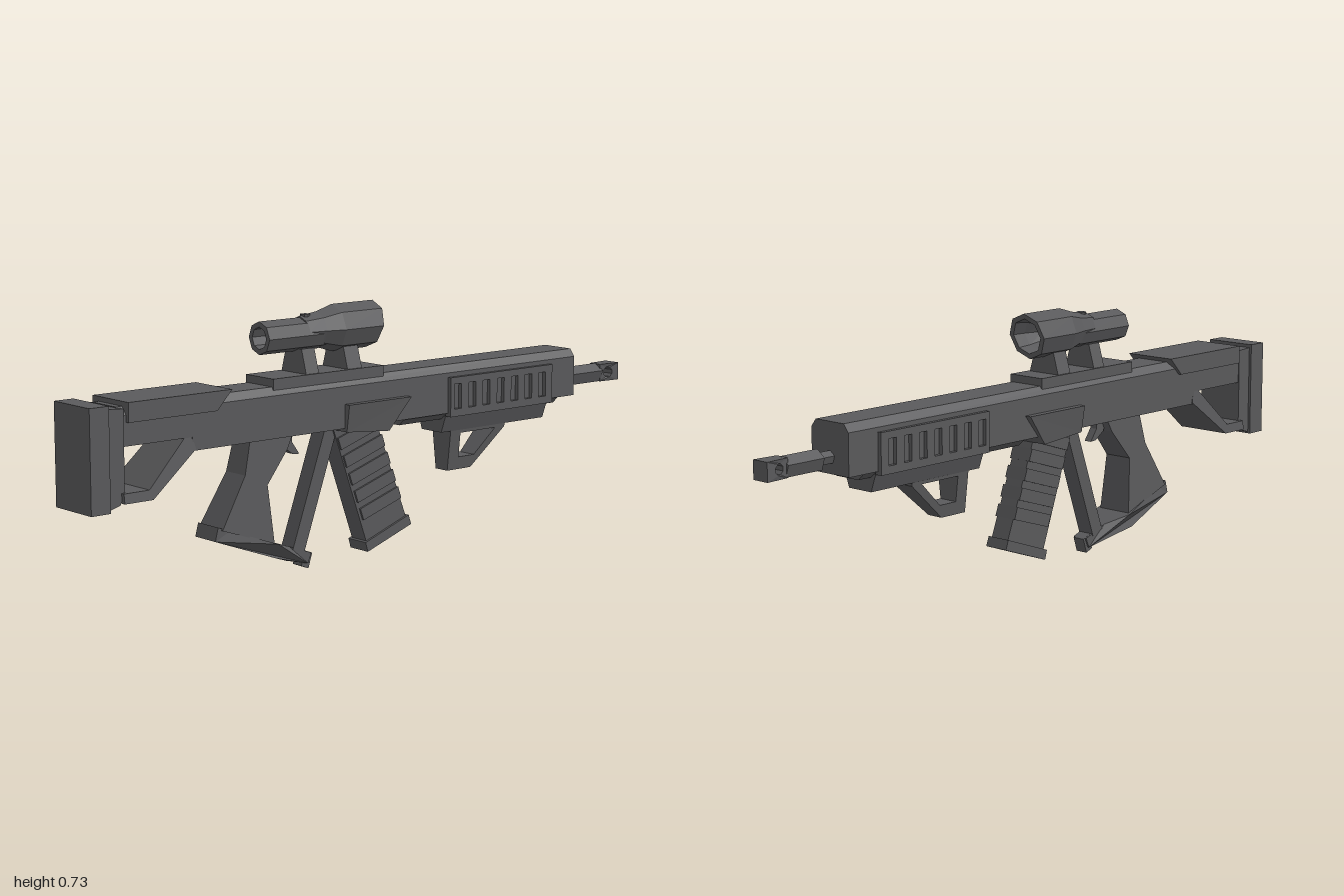
import * as THREE from 'three';

export function createModel() {
  const model = new THREE.Group();
  const gunmetal = new THREE.MeshStandardMaterial({ color: 0x5a5a5c });
  gunmetal.name = 'gunmetal';

  // Facets a geometry and adds it as a named part
  const add = (name, geometry, parent = model) => {
    const g = geometry.index ? geometry.toNonIndexed() : geometry;
    g.computeVertexNormals();
    const mesh = new THREE.Mesh(g, gunmetal);
    mesh.name = name;
    parent.add(mesh);
    return mesh;
  };
  const vectors = pts => pts.map(([x, y]) => new THREE.Vector2(x, y));

  // Side profile spread to both sides; half is a width or a rule of (x, y)
  const profile = (name, pts, half, holes = [], parent = model) => {
    const shape = new THREE.Shape(vectors(pts));
    for (const h of holes) shape.holes.push(new THREE.Path(vectors(h)));
    const g = new THREE.ExtrudeGeometry(shape, { depth: 2, bevelEnabled: false });
    g.translate(0, 0, -1);
    const p = g.attributes.position;
    for (let i = 0; i < p.count; i++) {
      const w = typeof half === 'function' ? half(p.getX(i), p.getY(i)) : half;
      p.setZ(i, p.getZ(i) * w);
    }
    return add(name, g, parent);
  };

  // Mirrored cross-section (z, y) run along x
  const beam = (name, x0, x1, right) => {
    const left = right.map(([z, y]) => [-z, y]).reverse();
    const shape = new THREE.Shape(vectors([...right, ...left]));
    const g = new THREE.ExtrudeGeometry(shape, { depth: x1 - x0, bevelEnabled: false });
    g.rotateY(Math.PI / 2).translate(x0, 0, 0);
    return add(name, g);
  };

  // Turned part along x from (radius, x) points
  const turned = (name, pts, y, sides, start = 0, shear = 0) => {
    const g = new THREE.LatheGeometry(vectors(pts), sides, start);
    g.rotateZ(-Math.PI / 2);
    const p = g.attributes.position;
    for (let i = 0; i < p.count; i++) {
      if (p.getX(i) > -0.06) p.setX(i, p.getX(i) + p.getY(i) * shear);
    }
    return add(name, g.translate(0, y, 0));
  };
  const rect = (x0, y0, x1, y1) => [[x0, y0], [x1, y0], [x1, y1], [x0, y1]];
  const lerp = THREE.MathUtils.mapLinear;

  // Receiver and stock
  beam('receiver', -0.67, 0.76, [[0.07, 0.395], [0.07, 0.513], [0.053, 0.535]]);
  beam('stockBeam', -0.9, -0.67, [[0.07, 0.432], [0.07, 0.513], [0.053, 0.535]]);
  beam('lowerReceiver', 0.08, 0.7, [[0.042, 0.375], [0.065, 0.397]]);
  profile('cheekRest', [[-0.88, 0.495], [-0.595, 0.495], [-0.545, 0.548], [-0.88, 0.548]], 0.081);
  profile('stockStrut', [[-0.9, 0.285], [-0.81, 0.285], [-0.66, 0.4], [-0.67, 0.435], [-0.695, 0.432],
    [-0.82, 0.312], [-0.9, 0.312]], (x, y) => lerp(y, 0.285, 0.435, 0.087, 0.068));
  profile('buttPad', rect(-1, 0.265, -0.94, 0.545), 0.081);
  profile('buttPlate', [[-0.94, 0.27], [-0.905, 0.28], [-0.89, 0.31], [-0.89, 0.532], [-0.94, 0.535]], 0.073);

  // Handguard side panels with vent slots
  const slots = [];
  for (let i = 0; i < 7; i++) {
    const x = 0.257 + i * 0.057;
    slots.push(rect(x, 0.407, x + 0.028, 0.48));
  }
  for (const side of [1, -1]) {
    const shape = new THREE.Shape(vectors(rect(0.243, 0.385, 0.655, 0.5)));
    slots.forEach(s => shape.holes.push(new THREE.Path(vectors(s))));
    const g = new THREE.ExtrudeGeometry(shape, { depth: 0.022, bevelEnabled: false });
    g.translate(0, 0, side > 0 ? 0.06 : -0.082);
    add('ventPanel', g);
  }
  profile('underRail', rect(0.243, 0.335, 0.655, 0.385), (x, y) => lerp(y, 0.335, 0.385, 0.042, 0.06));

  // Open foregrip
  profile('foregrip', [[0.283, 0.34], [0.283, 0.215], [0.375, 0.215], [0.5, 0.325], [0.5, 0.34]],
    (x, y) => lerp(y, 0.215, 0.34, 0.025, 0.04), [[[0.323, 0.325], [0.323, 0.252], [0.385, 0.252], [0.462, 0.325]]]);

  // Magazine well, magazine, ribs and floor plate
  profile('magazineWell', [[-0.145, 0.463], [0.085, 0.463], [0.012, 0.372], [-0.145, 0.385]],
    (x, y) => y > 0.42 ? 0.09 : 0.078);
  const magazine = new THREE.Group();
  magazine.name = 'magazine';
  model.add(magazine);
  profile('magazineBody', [[-0.155, 0.39], [0.005, 0.39], [0.118, 0.098], [-0.032, 0.045]], 0.031, [], magazine);
  for (let i = 0; i < 5; i++) {
    const t = i / 5;
    const x = -0.13 + t * 0.102, y = 0.328 - t * 0.265;
    profile('magazineRib', [[x, y], [x + 0.142, y + 0.046], [x + 0.13, y + 0.08], [x - 0.012, y + 0.034]],
      0.037, [], magazine);
  }
  profile('magazineFloor', [[-0.042, 0.05], [-0.034, 0.022], [0.131, 0.08], [0.121, 0.108]], 0.038, [], magazine);

  // Pistol grip, guard and trigger
  profile('grip', [[-0.45, 0.405], [-0.3, 0.405], [-0.325, 0.355], [-0.4, 0.265], [-0.385, 0.1],
    [-0.56, 0.16], [-0.475, 0.3]], (x, y) => lerp(y, 0.1, 0.405, 0.055, 0.036));
  const baseWidth = x => x < -0.5 ? 0.045 : x < -0.35 ? 0.064 : 0.024;
  profile('gripBase', [[-0.57, 0.17], [-0.53, 0.155], [-0.38, 0.1], [-0.31, 0.076], [-0.23, 0.047],
    [-0.242, 0.018], [-0.32, 0.037], [-0.39, 0.062], [-0.54, 0.117], [-0.58, 0.132]], baseWidth);
  profile('guardToe', [[-0.25, 0.055], [-0.223, 0.045], [-0.237, 0.002], [-0.262, 0.012]], 0.019);
  profile('guardStrut', [[-0.298, 0.065], [-0.258, 0.05], [-0.135, 0.395], [-0.18, 0.395]], 0.026);
  profile('trigger', [[-0.335, 0.4], [-0.29, 0.4], [-0.287, 0.365], [-0.262, 0.33], [-0.285, 0.332],
    [-0.318, 0.355]], 0.012);

  // Barrel and muzzle with a cross hole
  turned('barrel', [[0, 0.74], [0.018, 0.74], [0.018, 0.82]], 0.44, 5, -Math.PI / 2);
  turned('muzzleSleeve', [[0.016, 0.805], [0.03, 0.805], [0.03, 0.93], [0.016, 0.93]], 0.439, 5, -Math.PI / 2);
  const port = [];
  for (let i = 0; i < 8; i++) {
    const a = (i + 0.5) * Math.PI / 4;
    port.push([0.957 + 0.016 * Math.cos(a), 0.441 + 0.016 * Math.sin(a)]);
  }
  profile('muzzleBrake', rect(0.925, 0.414, 1, 0.467), x => x > 0.96 ? 0.027 : 0.021, [port]);

  // Sight base and tapered mounts
  beam('sightBase', -0.39, 0.005, [[0.06, 0.52], [0.06, 0.557]]);
  for (const [x0, x1] of [[-0.27, -0.225], [-0.122, -0.07]]) {
    profile('sightMount', rect(x0, 0.55, x1, 0.625), (x, y) => lerp(y, 0.55, 0.625, 0.056, 0.034));
  }

  // Hollow eight-sided sight with a slanted hood
  turned('sightTube', [[0.031, -0.39], [0.046, -0.39], [0.046, -0.19], [0.04, -0.15], [0.031, -0.15],
    [0.031, -0.39]], 0.662, 8);
  turned('sightHood', [[0.031, -0.25], [0.042, -0.25], [0.05, -0.19], [0.066, -0.135], [0.066, 0.002],
    [0.051, 0.002], [0.046, -0.04], [0.031, -0.1], [0.031, -0.25]], 0.67, 8, 0, 0.2);
  add('sightDial', new THREE.CylinderGeometry(0.014, 0.014, 0.02, 8).translate(-0.23, 0.706, 0));

  return model;
}
